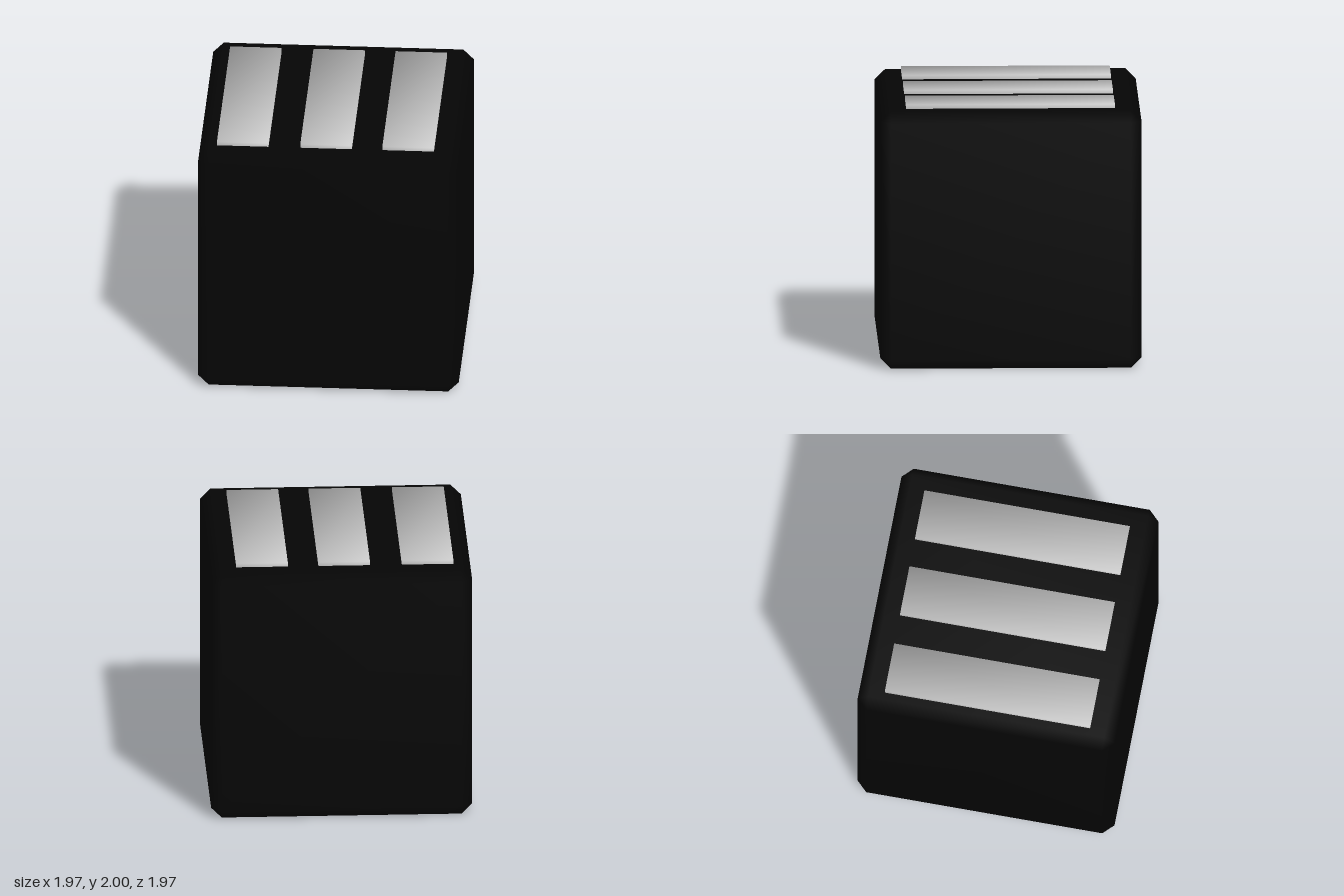
import * as THREE from 'three';
import { mergeVertices } from 'three/addons/utils/BufferGeometryUtils.js';
import { ConvexGeometry } from 'three/addons/geometries/ConvexGeometry.js';

// Cube of half-size h with a single flat bevel on every edge, shaded smooth
function bevelledCube(h, bevel) {
  const i = h - bevel;
  const points = [];
  for (const x of [-1, 1]) for (const y of [-1, 1]) for (const z of [-1, 1]) {
    points.push(
      new THREE.Vector3(x * h, y * i, z * i),
      new THREE.Vector3(x * i, y * h, z * i),
      new THREE.Vector3(x * i, y * i, z * h));
  }
  const hull = new ConvexGeometry(points);
  hull.deleteAttribute('normal');
  const geometry = mergeVertices(hull, 1e-4);
  geometry.computeVertexNormals();
  return geometry;
}

// Box whose corner normals point diagonally outward
function softBox(w, h, d) {
  const geometry = new THREE.BoxGeometry(w, h, d);
  const { position, normal } = geometry.attributes;
  const n = new THREE.Vector3();
  for (let k = 0; k < position.count; k++) {
    n.set(Math.sign(position.getX(k)), Math.sign(position.getY(k)), Math.sign(position.getZ(k))).normalize();
    normal.setXYZ(k, n.x, n.y, n.z);
  }
  return geometry;
}

export function createModel() {
  const model = new THREE.Group();
  const black = new THREE.MeshStandardMaterial({ color: 0x050505 });
  const grey = new THREE.MeshStandardMaterial({ color: 0xcccccc });

  // Black block
  const body = new THREE.Mesh(bevelledCube(0.985, 0.08), black);
  body.name = 'body';
  body.position.y = 0.985;
  model.add(body);

  // Three raised strips across the top, set slightly to the right
  const stripGeometry = softBox(0.39, 0.1, 1.575);
  [-0.655, -0.025, 0.595].forEach((x, k) => {
    const strip = new THREE.Mesh(stripGeometry, grey);
    strip.name = `topStrip${k + 1}`;
    strip.position.set(x, 1.95, 0);
    model.add(strip);
  });

  return model;
}
